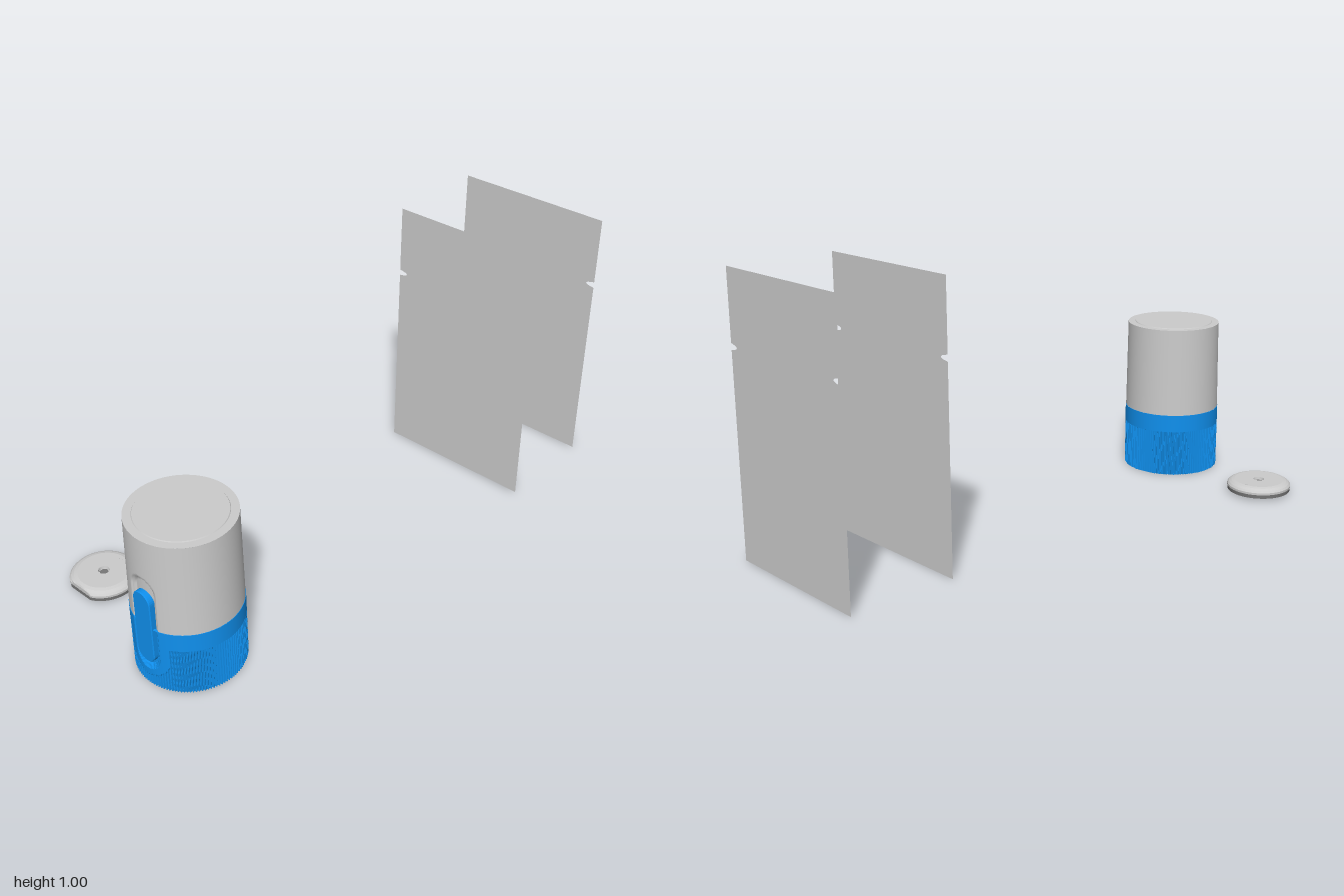
import * as THREE from 'three';

const grey = new THREE.MeshStandardMaterial({ color: 0xcccccc });
const greyFlat = new THREE.MeshStandardMaterial({ color: 0xcccccc, flatShading: true });
const greyThin = new THREE.MeshStandardMaterial({ color: 0xcccccc, side: THREE.DoubleSide });
const darkGrey = new THREE.MeshStandardMaterial({ color: 0x777777, flatShading: true });
const blue = new THREE.MeshStandardMaterial({ color: 0x1090ee, flatShading: true });

const RIBS = 120, SEGMENTS = RIBS * 4;

function addMesh(parent, name, geometry, material, x = 0, y = 0, z = 0) {
  const mesh = new THREE.Mesh(geometry, material);
  mesh.name = name;
  mesh.position.set(x, y, z);
  parent.add(mesh);
  return mesh;
}

// Signed distance to an upright capsule outline
const capsule = (x, y, r, low, high) => Math.hypot(x, y - THREE.MathUtils.clamp(y, low, high)) - r;

// Stepped niche pressed into the front of the wall
function niche(x, y) {
  const d = capsule(x, y, 0.051, 0.122, 0.382);
  const step = (from, to) => 1 - THREE.MathUtils.smoothstep(d, to, from);
  return 0.006 * step(0.005, -0.001) + 0.008 * step(-0.004, -0.009);
}

// Round wall made of rings; radiusAt(x, y, column) shapes it
function wall(rows, baseRadius, offset) {
  const pos = [], index = [];
  rows.forEach((y, j) => {
    for (let i = 0; i < SEGMENTS; i++) {
      const a = (i / SEGMENTS) * Math.PI * 2 - Math.PI;
      const r0 = baseRadius(y), x = r0 * Math.sin(a);
      const front = Math.cos(a) > 0;
      const r = r0 - offset(x, y, i, front, j) - (front ? niche(x, y) : 0);
      pos.push(r * Math.sin(a), y, r * Math.cos(a));
      if (j === 0) continue;
      const n = (i + 1) % SEGMENTS, lo = (j - 1) * SEGMENTS, hi = j * SEGMENTS;
      index.push(lo + i, lo + n, hi + n, lo + i, hi + n, hi + i);
    }
  });
  const g = new THREE.BufferGeometry();
  g.setAttribute('position', new THREE.Float32BufferAttribute(pos, 3));
  g.setIndex(index);
  g.computeVertexNormals();
  return g;
}

const range = (from, to, count) => Array.from({ length: count + 1 }, (_, i) => from + ((to - from) * i) / count);

// Lathe from [radius, height] pairs
const lathe = (pairs, segments = 96) => new THREE.LatheGeometry(pairs.map(([r, y]) => new THREE.Vector2(r, y)), segments);

function capsuleShape(r, low, high) {
  const s = new THREE.Shape();
  s.absarc(0, high, r, 0, Math.PI);
  s.absarc(0, low, r, Math.PI, Math.PI * 2);
  s.closePath();
  return s;
}

function createCanister() {
  const g = new THREE.Group();
  g.name = 'canister';

  // Grey upper body, slightly tapered
  const bodyRadius = (y) => THREE.MathUtils.mapLinear(y, 0.245, 0.588, 0.1845, 0.1795);
  addMesh(g, 'upperBody', wall(range(0.245, 0.588, 50), bodyRadius, () => 0), grey);
  addMesh(g, 'lid', lathe([[0.1795, 0.588], [0.152, 0.588], [0.15, 0.591], [0, 0.591]]), greyFlat);

  // Blue base: ribbed grip below a plain band, with a smooth shield around the niche
  const rows = [...range(0, 0.177, 30), ...range(0.178, 0.245, 12)];
  const ribs = (x, y, i, front) => {
    const onShield = front && capsule(x, y, 0.088, 0.128, 1) < 0;
    return y > 0.1775 || onShield || i % 4 < 2 ? 0 : 0.005;
  };
  addMesh(g, 'ribbedBase', wall(rows, () => 0.186, ribs), blue);
  addMesh(g, 'baseShoulder', lathe([[0.186, 0.245], [0.178, 0.246]]), blue);
  addMesh(g, 'baseBottom', lathe([[0, 0.004], [0.145, 0.004], [0.147, 0.001], [0.184, 0.001]]), blue);

  // Long button lying in the niche
  const button = new THREE.ExtrudeGeometry(capsuleShape(0.035, 0.133, 0.342), {
    depth: 0.022, bevelThickness: 0.003, bevelSize: 0.003, bevelSegments: 1, curveSegments: 8,
  });
  addMesh(g, 'button', button, blue, 0, 0, 0.162);

  g.position.set(0.149, 0, 0.813);
  return g;
}

// Round disc with one side cut flat
function cutDisc(profile) {
  const g = lathe(profile);
  const p = g.attributes.position;
  for (let i = 0; i < p.count; i++) p.setZ(i, Math.min(p.getZ(i), 0.107));
  g.computeVertexNormals();
  return g;
}

function createPuck() {
  const g = new THREE.Group();
  g.name = 'puck';
  addMesh(g, 'puckPad', cutDisc([[0, 0.01], [0.118, 0.01], [0.119, 0.025], [0, 0.025]]), darkGrey);
  addMesh(g, 'puckTop', cutDisc([
    [0.12, 0.024], [0.12, 0.032], [0.114, 0.039], [0.104, 0.045], [0.092, 0.048],
    [0.02, 0.048], [0.018, 0.038], [0, 0.038],
  ]), greyFlat);
  addMesh(g, 'puckSocket', new THREE.CylinderGeometry(0.017, 0.017, 0.002, 6), darkGrey, 0, 0.038, 0);
  addMesh(g, 'puckIndicator', new THREE.CylinderGeometry(0.008, 0.008, 0.002, 16), greyFlat, 0, 0.0478, -0.08);
  g.position.set(-0.33, 0, 0.78);
  return g;
}

// Thin sheet with a rounded notch in each long side
function panelGeometry() {
  const w = 0.3, s = new THREE.Shape();
  s.moveTo(-w, 0);
  s.lineTo(w, 0);
  s.lineTo(w, 0.727);
  s.lineTo(w - 0.022, 0.731);
  s.quadraticCurveTo(w - 0.044, 0.738, w - 0.022, 0.745);
  s.lineTo(w, 0.75);
  s.lineTo(w, 1);
  s.lineTo(-w, 1);
  s.lineTo(-w, 0.75);
  s.lineTo(-w + 0.022, 0.745);
  s.quadraticCurveTo(-w + 0.044, 0.738, -w + 0.022, 0.731);
  s.lineTo(-w, 0.727);
  s.closePath();
  return new THREE.ShapeGeometry(s);
}

export function createModel() {
  const model = new THREE.Group();
  model.name = 'canisterSet';
  model.add(createCanister(), createPuck());
  const panel = panelGeometry();
  addMesh(model, 'frontPanel', panel, greyThin, 0.149, 0, -0.6);
  addMesh(model, 'backPanel', panel, greyThin, 0.149, 0, -1);
  return model;
}
